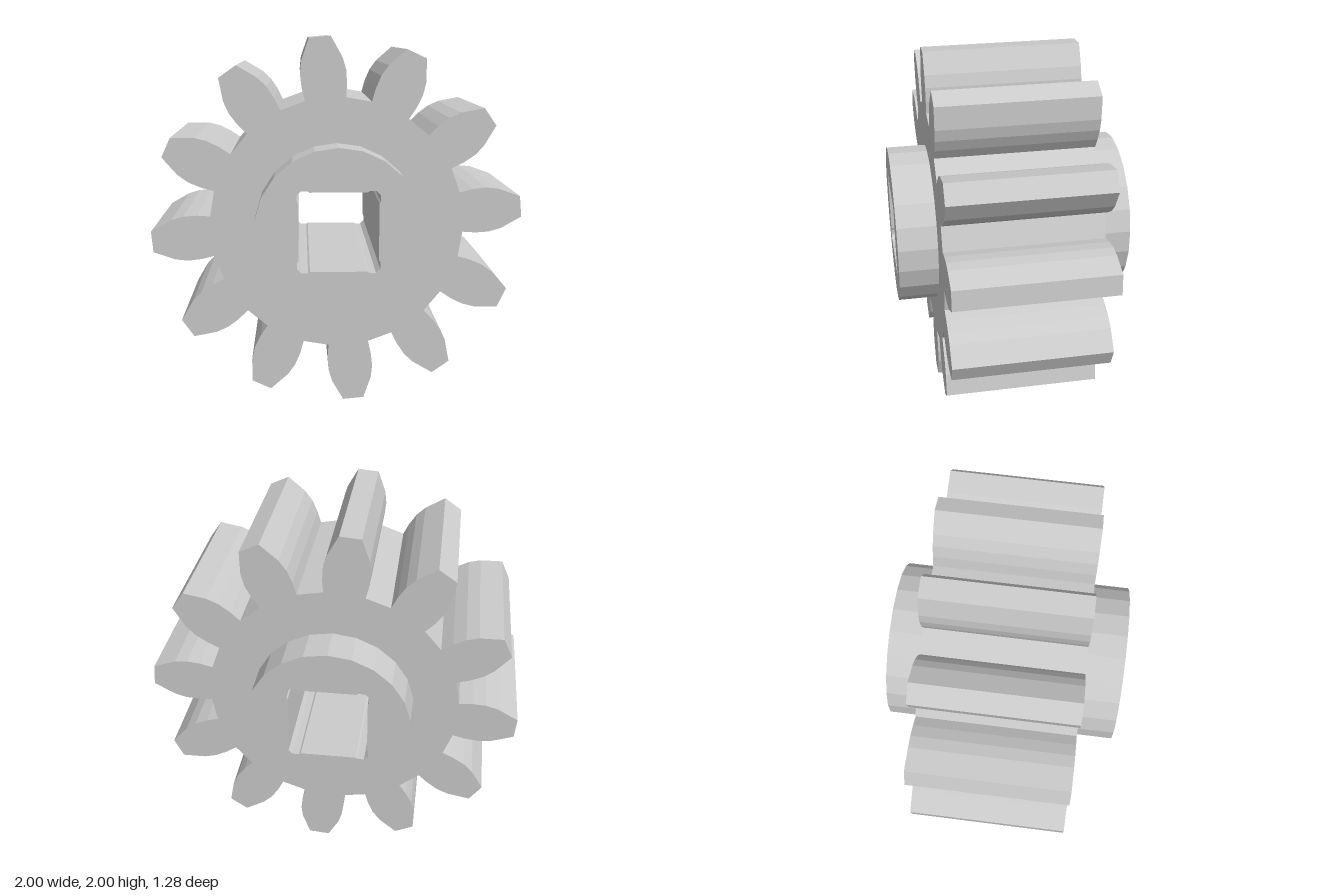
import * as THREE from 'three';
import { mergeGeometries } from 'three/addons/utils/BufferGeometryUtils.js';

const TEETH = 12, PHASE = THREE.MathUtils.degToRad(5.2);
const GEAR_BACK = -0.43, GEAR_FRONT = 0.425, HUB = 0.64, HUB_RADIUS = 0.44;

// One tooth flank, root to tip: [radial distance, half width]
const FLANK = [[0.675, 0.109], [0.745, 0.12], [0.818, 0.122], [0.885, 0.109], [1.0, 0.057]];

function gearOutline() {
  const tooth = [...FLANK.map(([r, w]) => [r, -w]), ...[...FLANK].reverse()];
  const points = [];
  for (let i = 0; i < TEETH; i++) {
    const angle = PHASE + (i / TEETH) * Math.PI * 2;
    for (const [r, w] of tooth) points.push(new THREE.Vector2(r, w).rotateAround(new THREE.Vector2(), angle));
  }
  return points;
}

function hubOutline(sides = 22) {
  return Array.from({ length: sides }, (_, i) => {
    const a = ((i + 0.5) / sides) * Math.PI * 2;
    return new THREE.Vector2(Math.cos(a) * HUB_RADIUS, Math.sin(a) * HUB_RADIUS);
  });
}

// Square bore with a shallow relief groove on both sides of each corner
function boreOutline() {
  const corner = [[0.21, 0.15], [0.217, 0.16], [0.217, 0.195], [0.205, 0.207],
    [0.207, 0.205], [0.195, 0.217], [0.16, 0.217], [0.15, 0.21]];
  const points = [];
  for (let i = 0; i < 4; i++) {
    for (const [x, y] of corner) {
      points.push(new THREE.Vector2(x, y).rotateAround(new THREE.Vector2(), i * Math.PI / 2));
    }
  }
  return points;
}

// Straight wall along a closed outline; counter-clockwise outlines face outwards
function wall(points, z0, z1) {
  const pos = [];
  points.forEach((a, i) => {
    const b = points[(i + 1) % points.length];
    pos.push(a.x, a.y, z0, b.x, b.y, z0, b.x, b.y, z1);
    pos.push(a.x, a.y, z0, b.x, b.y, z1, a.x, a.y, z1);
  });
  const g = new THREE.BufferGeometry();
  g.setAttribute('position', new THREE.Float32BufferAttribute(pos, 3));
  g.computeVertexNormals();
  return g;
}

// Flat face with a hole, looking forwards or backwards
function cap(outline, hole, z, forward) {
  const shape = new THREE.Shape(outline);
  shape.holes.push(new THREE.Path(hole));
  const indexed = new THREE.ShapeGeometry(shape);
  if (!forward) indexed.index.array.reverse();
  const g = indexed.toNonIndexed().translate(0, 0, z);
  g.deleteAttribute('uv');
  g.computeVertexNormals();
  return g;
}

export function createModel() {
  const group = new THREE.Group();
  const material = new THREE.MeshStandardMaterial({ color: 0xcccccc, flatShading: true });
  const gear = gearOutline(), hub = hubOutline(), bore = boreOutline();

  const add = (name, parts) => {
    const mesh = new THREE.Mesh(mergeGeometries(parts), material);
    mesh.name = name;
    mesh.position.y = 1;
    group.add(mesh);
  };

  // Toothed wheel, open in the middle where the hub passes through
  add('toothedWheel', [
    wall(gear, GEAR_BACK, GEAR_FRONT),
    cap(gear, hub, GEAR_FRONT, true),
    cap(gear, hub, GEAR_BACK, false),
  ]);

  // Hub collars standing out on both faces
  add('frontHub', [wall(hub, GEAR_FRONT, HUB), cap(hub, bore, HUB, true)]);
  add('backHub', [wall(hub, -HUB, GEAR_BACK), cap(hub, bore, -HUB, false)]);

  // Square bore through the whole hub
  add('squareBore', [wall([...bore].reverse(), -HUB, HUB)]);

  return group;
}
